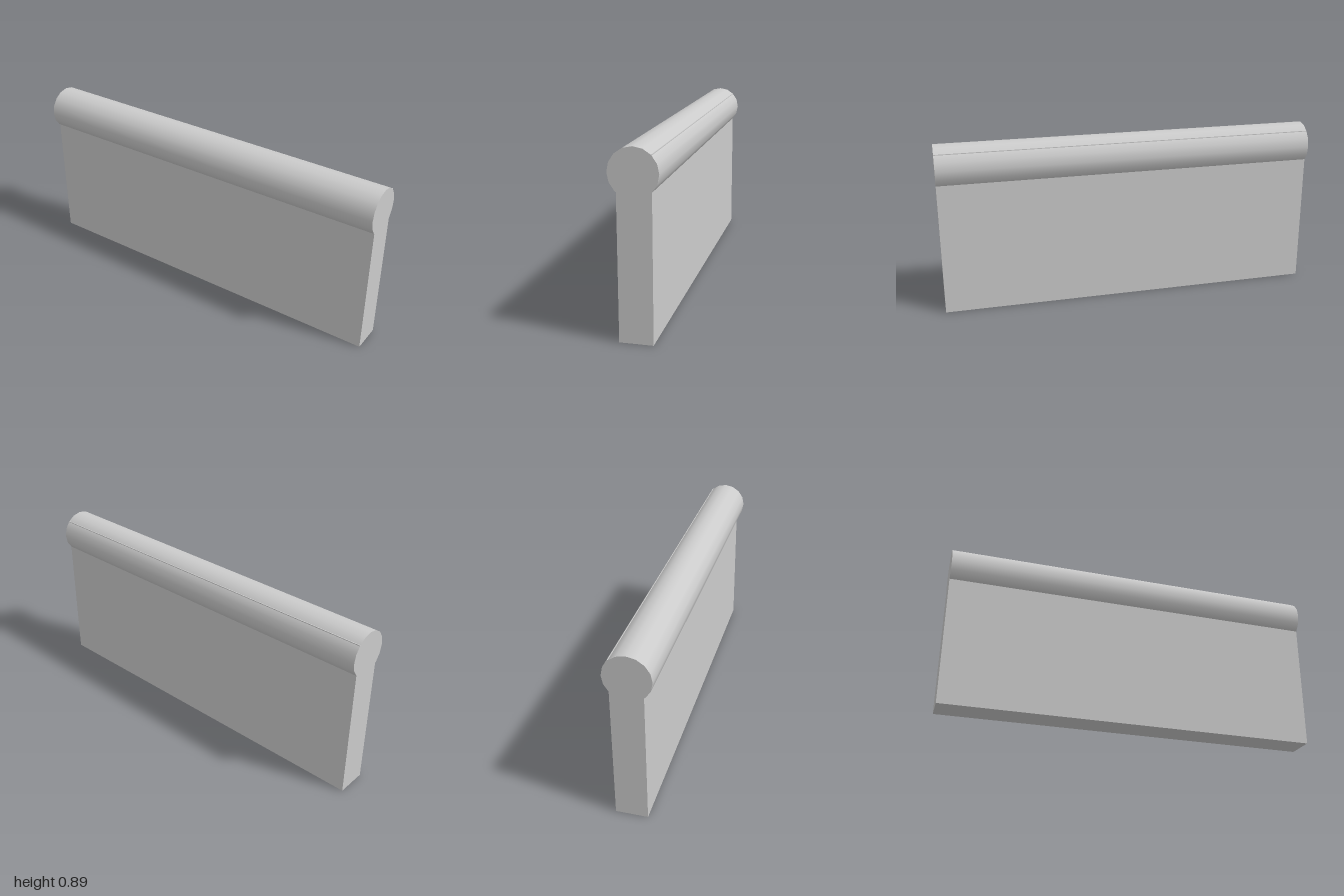
import * as THREE from 'three';

const LENGTH = 2;
const RAIL_RADIUS = 0.115;
const RAIL_Y = 0.772;
const WALL = { left: -0.075, right: 0.083, top: 0.855 };

export function createModel() {
  const model = new THREE.Group();
  const grey = new THREE.MeshStandardMaterial({ color: 0xcccccc });

  // Upright slab, whose top corner just breaks the surface of the rail
  const wall = new THREE.Mesh(
    new THREE.BoxGeometry(WALL.right - WALL.left, WALL.top, LENGTH), grey);
  wall.name = 'wall';
  wall.position.set((WALL.left + WALL.right) / 2, WALL.top / 2, 0);
  model.add(wall);

  // Round rail along the top, flush with the slab ends
  const railGeometry = new THREE.CylinderGeometry(RAIL_RADIUS, RAIL_RADIUS, LENGTH, 16);
  railGeometry.rotateX(Math.PI / 2);
  const rail = new THREE.Mesh(railGeometry, grey);
  rail.name = 'topRail';
  rail.position.y = RAIL_Y;
  model.add(rail);

  return model;
}
